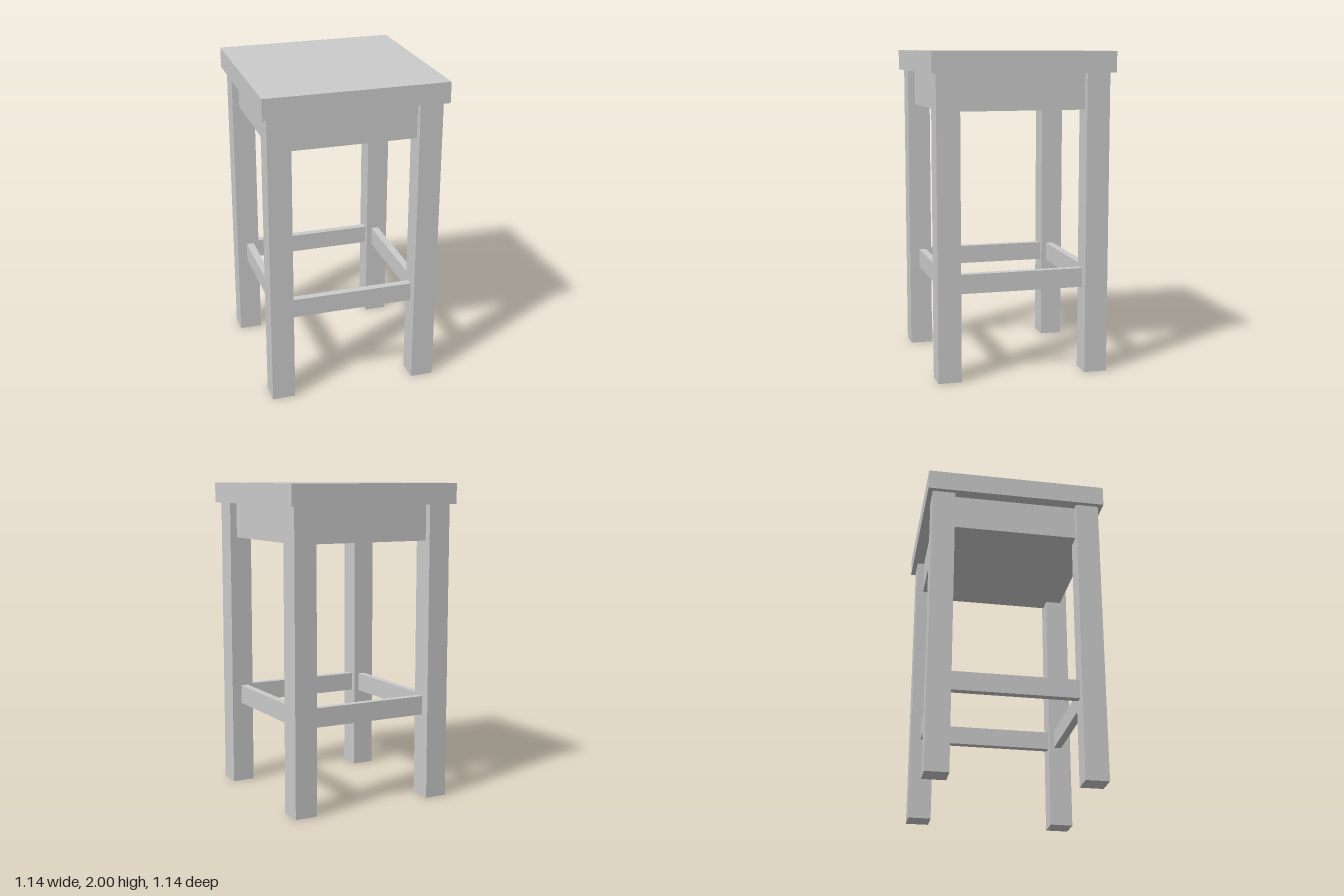
import * as THREE from 'three';

export function createModel() {
  const stool = new THREE.Group();
  stool.name = 'stool';
  const material = new THREE.MeshStandardMaterial({ color: 0xcccccc, flatShading: true });

  // Box spanning y0..y1, centred on x, z
  function addBox(name, width, depth, y0, y1, x = 0, z = 0) {
    const mesh = new THREE.Mesh(new THREE.BoxGeometry(width, y1 - y0, depth), material);
    mesh.name = name;
    mesh.position.set(x, (y0 + y1) / 2, z);
    stool.add(mesh);
  }

  const seatBottom = 1.87;
  const legSize = 0.145;
  const legOffset = 0.467;
  const span = 2 * legOffset - legSize; // clear gap between legs

  // Seat slab and the solid apron block under it
  addBox('seat', 1.14, 1.14, seatBottom, 2);
  addBox('apron', 0.99, 0.99, 1.645, seatBottom);

  // Four square legs
  for (const [side, sx] of [['Left', 1], ['Right', -1]]) {
    for (const [end, sz] of [['front', 1], ['back', -1]]) {
      addBox(`${end}${side}Leg`, legSize, legSize, 0, seatBottom, sx * legOffset, sz * legOffset);
    }
  }

  // Four stretchers running between the legs
  const thickness = 0.048;
  const offset = 0.453;
  for (const s of [1, -1]) {
    addBox(s > 0 ? 'frontStretcher' : 'backStretcher', span, thickness, 0.535, 0.655, 0, s * offset);
    addBox(s > 0 ? 'leftStretcher' : 'rightStretcher', thickness, span, 0.535, 0.655, s * offset, 0);
  }

  return stool;
}
